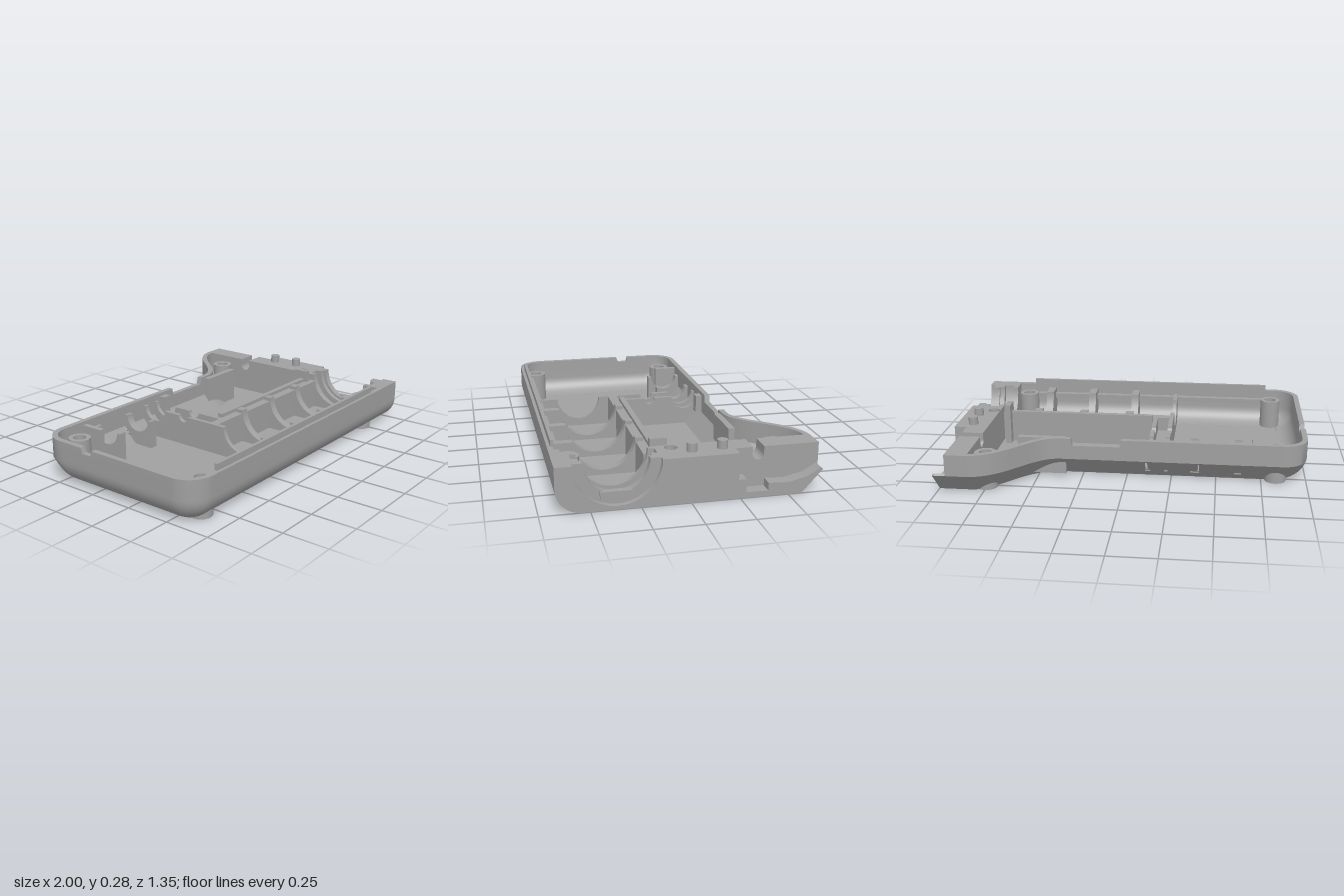
import * as THREE from 'three';
import { toCreasedNormals } from 'three/addons/utils/BufferGeometryUtils.js';

const H = 0.24;
const bosses = [[-0.83, -0.26], [-0.83, 0.575], [0.74, 0.575], [0.75, -0.51]];
const slots = [[-0.62, 0.022], [-0.38, 0.022], [-0.22, 0.013], [-0.12, 0.013]];

export function createModel() {
  const group = new THREE.Group();
  const grey = new THREE.MeshStandardMaterial({ color: 0xa0a0a0, side: THREE.DoubleSide });
  grey.name = 'casingGrey';

  const add = (name, geo) => {
    const mesh = new THREE.Mesh(geo, grey);
    mesh.name = name;
    group.add(mesh);
    return mesh;
  };
  const box = (name, x0, x1, y0, y1, z0, z1) =>
    add(name, new THREE.BoxGeometry(x1 - x0, y1 - y0, z1 - z0)
      .translate((x0 + x1) / 2, (y0 + y1) / 2, (z0 + z1) / 2));
  // section drawn in (-z, y), extruded along x
  const alongX = (name, shape, x0, x1) => {
    const g = new THREE.ExtrudeGeometry(shape, { depth: x1 - x0, bevelEnabled: false, curveSegments: 24 });
    add(name, toCreasedNormals(g.rotateY(Math.PI / 2).translate(x0, 0, 0), 0.5));
  };
  // plan drawn in (x, z), extruded along y
  const alongY = (name, shape, y0, y1) => {
    const g = new THREE.ExtrudeGeometry(shape, { depth: y1 - y0, bevelEnabled: false, curveSegments: 24 });
    add(name, toCreasedNormals(g.rotateX(Math.PI / 2).translate(0, y1, 0), 0.5));
  };
  const rect = (x0, x1, z0, z1, C = THREE.Shape) =>
    new C([[x0, z0], [x1, z0], [x1, z1], [x0, z1]].map(p => new THREE.Vector2(...p)));

  // Outline of the casing, seen from above, with inward normals
  const path = new THREE.Path();
  path.moveTo(0.83, 0.67);
  path.lineTo(-0.86, 0.67);
  path.absarc(-0.86, 0.53, 0.14, Math.PI / 2, Math.PI, false);
  path.lineTo(-1, -0.23);
  path.absarc(-0.86, -0.23, 0.14, Math.PI, Math.PI * 1.5, false);
  path.lineTo(0.36, -0.37);
  path.bezierCurveTo(0.54, -0.37, 0.6, -0.68, 0.83, -0.68);
  const pts = path.getSpacedPoints(480);
  const normals = pts.map((p, i) => {
    const a = pts[Math.max(i - 1, 0)], b = pts[Math.min(i + 1, pts.length - 1)];
    const t = b.clone().sub(a).normalize();
    return new THREE.Vector2(-t.y, t.x);
  });

  // Wall: round lower edge at the front and left, sloped at the back
  const N = 14;
  const edge = (p, k) => {
    const w = THREE.MathUtils.clamp((-0.2 - p.y) / 0.15, 0, 1), t = k / N, a = t * Math.PI / 2;
    return [THREE.MathUtils.lerp(0.13 * (1 - Math.cos(a)), 0.11 * t, w),
      THREE.MathUtils.lerp(0.13 * (1 - Math.sin(a)), 0.12 * (1 - t), w)];
  };
  const rimY = p => {
    if (p.y < -0.36 && p.x > 0.03 && p.x < 0.3) return H - 0.04;
    if (p.x < -0.99 && p.y > -0.07 && p.y < 0) return H - 0.03;
    return H;
  };
  const levels = [];
  for (let k = N; k >= 0; k--) levels.push(p => { const [d, y] = edge(p, k); return [0.03 + 0.73 * d, 0.03 + 0.75 * y]; });
  levels.push(p => [0.03, rimY(p)], p => [0, rimY(p)]);
  for (let k = 0; k <= N; k++) levels.push(p => edge(p, k));
  const grid = levels.map(f => pts.map((p, j) => {
    const [d, y] = f(p);
    return new THREE.Vector3(p.x + normals[j].x * d, y, p.y + normals[j].y * d);
  }));
  const isOpen = c => bosses.some(b => Math.hypot(c.x - b[0], c.z - b[1]) < 0.047 && c.y < 0.12)
    || (c.z < -0.25 && c.y > 0.035 && c.y < 0.11 && slots.some(s => Math.abs(c.x - s[0]) < s[1]));
  const verts = [];
  for (let i = 0; i < grid.length - 1; i++) {
    for (let j = 0; j < pts.length - 1; j++) {
      const a = grid[i][j], b = grid[i][j + 1], c = grid[i + 1][j + 1], d = grid[i + 1][j];
      const mid = a.clone().add(b).add(c).add(d).multiplyScalar(0.25);
      if (isOpen(mid)) continue;
      for (const v of [a, b, c, a, c, d]) verts.push(v.x, v.y, v.z);
    }
  }
  const wall = new THREE.BufferGeometry();
  wall.setAttribute('position', new THREE.Float32BufferAttribute(verts, 3));
  add('casingWall', toCreasedNormals(wall, 0.6));

  // Floor, notched around the screw bosses and pierced by vents
  const last = grid[grid.length - 1];
  const floor = new THREE.Shape(last.map((q, j) => {
    const n = normals[j], p = new THREE.Vector2(q.x, q.z);
    for (const b of bosses) {
      const v = p.clone().sub(new THREE.Vector2(...b));
      if (v.length() < 0.05) {
        const k = v.dot(n);
        p.addScaledVector(n, -k + Math.sqrt(k * k - v.lengthSq() + 0.0025));
      }
    }
    return p;
  }));
  for (const z of [-0.08, -0.04, 0]) floor.holes.push(rect(0.54, 0.68, z - 0.01, z + 0.01, THREE.Path));
  alongY('floor', floor, 0, 0.03);

  // Screw bosses with countersunk holes
  const bossProfile = [[0.05, 0], [0.06, 0], [0.06, 0.2], [0.035, 0.2], [0.035, 0.03], [0.05, 0]]
    .map(p => new THREE.Vector2(...p));
  for (const [x, z] of bosses) {
    add('screwBoss', toCreasedNormals(new THREE.LatheGeometry(bossProfile, 32).toNonIndexed(), 0.5)).position.set(x, 0, z);
  }

  // Solid end block: slices with a stepped round socket
  const slices = [[0.81, 0.84, 0.18], [0.84, 0.9, 0.213], [0.9, 0.93, 0.18], [0.93, 0.97, 0.165], [0.97, 1, 0.22]];
  for (const [x0, x1, r] of slices) {
    const s = new THREE.Shape();
    s.moveTo(-0.54, 0);
    s.absarc(-0.54, 0.13, 0.13, -Math.PI / 2, -Math.PI, true);
    s.lineTo(-0.67, H);
    s.lineTo(-0.365 - r, H);
    s.absarc(-0.365, H, r, Math.PI, Math.PI * 2, false);
    s.lineTo(-0.13, H);
    s.lineTo(-0.13, 0);
    alongX('socketBlock', s, x0, x1);

    const b = new THREE.Shape();
    b.moveTo(-0.01, 0);
    b.lineTo(-0.01, H);
    if (x0 < 0.92) {
      b.lineTo(0.33, H);
      b.absarc(0.36, 0.2, 0.03, Math.PI, Math.PI * 2, false);
      b.lineTo(0.39, H);
      b.lineTo(0.68, H);
    } else {
      for (const q of [[0.24, H], [0.24, 0.1], [0.28, 0.1], [0.28, 0.03], [0.395, 0.03], [0.395, 0.07],
        [0.5, 0.065], [0.6, 0.09], [0.67, 0.13]]) b.lineTo(...q);
    }
    b.lineTo(0.68, 0.12);
    b.lineTo(0.57, 0);
    alongX('endBlock', b, x0, x1);
  }
  const middle = rect(0.81, 1, 0.01, 0.13);
  middle.holes.push(new THREE.Path().absarc(0.847, 0.07, 0.034, 0, Math.PI * 2, false));
  alongY('endBlockMiddle', middle, 0, H);
  box('socketKey', 0.95, 0.985, 0.055, 0.09, 0.29, 0.45);

  // Locating pegs and stop
  for (const [x, z] of [[0.905, -0.18], [0.915, -0.02]]) {
    add('peg', new THREE.CylinderGeometry(0.027, 0.027, 0.06, 24)).position.set(x, 0.255, z);
  }
  box('boardStop', 0.75, 0.785, 0.02, 0.27, 0.075, 0.165);

  // Ribs with round cradles cut in the top; notches are [z, radius]
  const rib = (x, w, z0, z1, h, notches) => {
    const s = new THREE.Shape();
    const low = [[z1, 0.02]], high = [[z0, 0.02]];
    if (z1 > 0.6) low.splice(0, 1, [0.57, 0.02], [0.64, 0.1]);
    if (z0 < -0.3) high.splice(0, 1, [-0.34, 0.12], [-0.25, 0.02]);
    low.forEach(([z, y], i) => (i ? s.lineTo(-z, y) : s.moveTo(-z, y)));
    s.lineTo(-z1, h);
    for (const [z, r] of notches) {
      s.lineTo(-z - r, h);
      s.absarc(-z, h, r, Math.PI, Math.PI * 2, false);
    }
    s.lineTo(-z0, h);
    for (const [z, y] of high) s.lineTo(-z, y);
    alongX('rib', s, x - w / 2, x + w / 2);
  };
  for (const x of [0.037, 0.315, 0.593]) rib(x, 0.045, 0.16, 0.64, 0.22, [[0.365, 0.163]]);
  rib(-0.222, 0.025, -0.34, 0.64, 0.2, [[0.38, 0.125], [-0.035, 0.035], [-0.25, 0.075]]);
  rib(-0.128, 0.025, -0.34, 0.15, 0.2, [[-0.035, 0.035], [-0.25, 0.075]]);
  for (const x of [-0.625, -0.375]) rib(x, 0.045, -0.34, -0.14, 0.19, [[-0.24, 0.08]]);
  rib(-0.71, 0.03, -0.34, -0.21, 0.22, []);

  // Inner walls, plates and rails
  box('dividerWall', -0.21, 0.81, 0.02, 0.2, 0.15, 0.2);
  box('boardWall', -0.11, 0.76, 0.02, 0.22, 0.12, 0.15);
  box('crossBlock', -0.21, -0.14, 0.02, 0.12, -0.11, 0.15);
  box('backPlate', 0.34, 0.61, 0.02, 0.23, -0.34, -0.305);
  box('backTab', -0.09, -0.035, 0.12, 0.22, -0.345, -0.305);
  box('frontLedge', -0.77, 0.68, 0.16, 0.19, 0.6, 0.645);
  box('frontTongue', -0.8, 0.71, 0.19, 0.275, 0.635, 0.653);
  return group;
}
